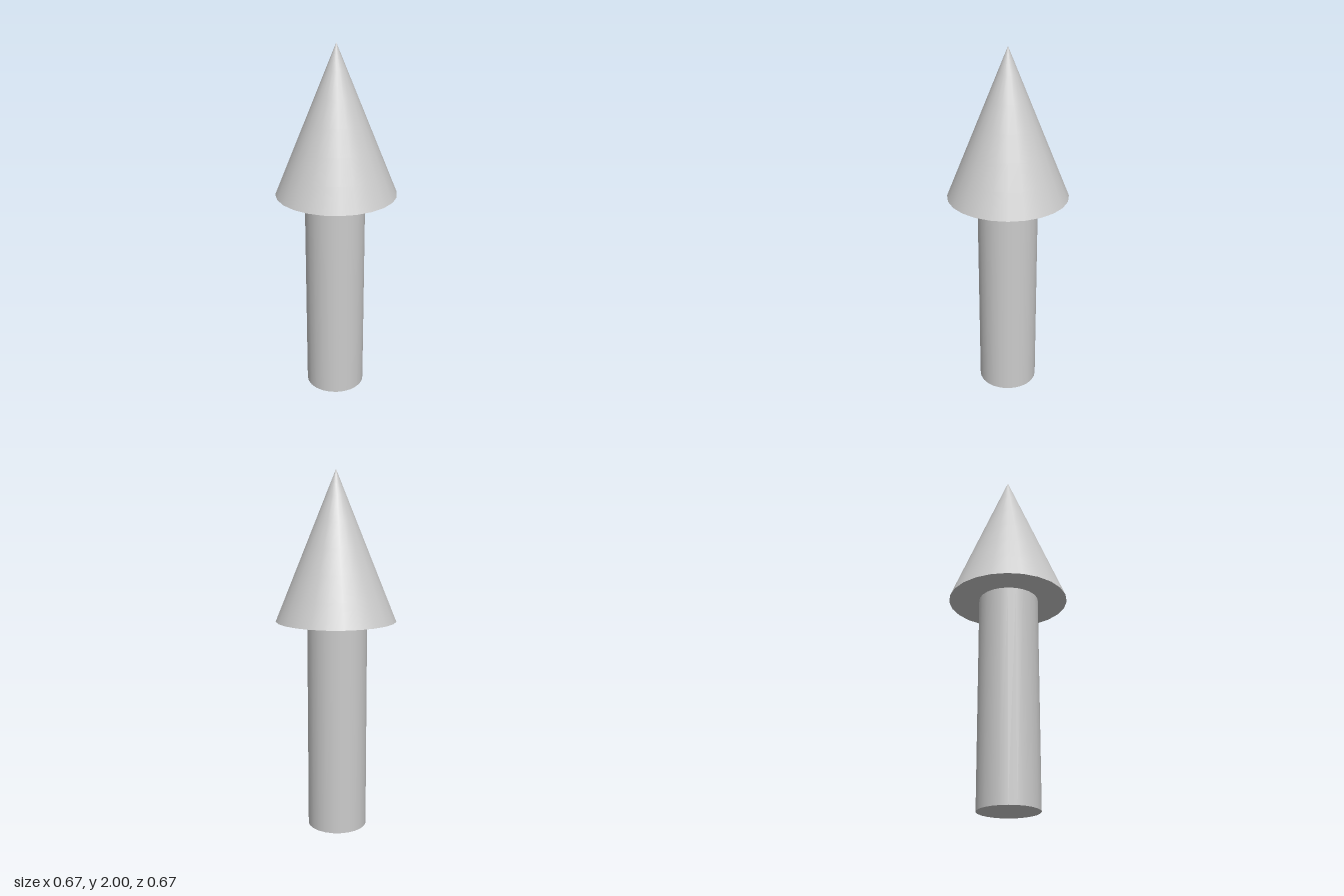
import * as THREE from 'three';

export function createModel() {
  const group = new THREE.Group();
  group.name = 'arrow';
  const material = new THREE.MeshStandardMaterial({ color: 0xcccccc });
  const baseY = 1.185, sides = 24;

  const addPart = (name, geometry, x, y) => {
    const mesh = new THREE.Mesh(geometry, material);
    mesh.name = name;
    mesh.position.set(x, y, 0);
    group.add(mesh);
  };

  // Round shaft, sitting very slightly off the axis
  addPart('shaft', new THREE.CylinderGeometry(0.166, 0.166, baseY, sides), -0.007, baseY / 2);

  // Conical head with a flat underside
  const headHeight = 2 - baseY;
  addPart('head', new THREE.ConeGeometry(0.333, headHeight, sides, 6), 0, baseY + headHeight / 2);

  return group;
}
